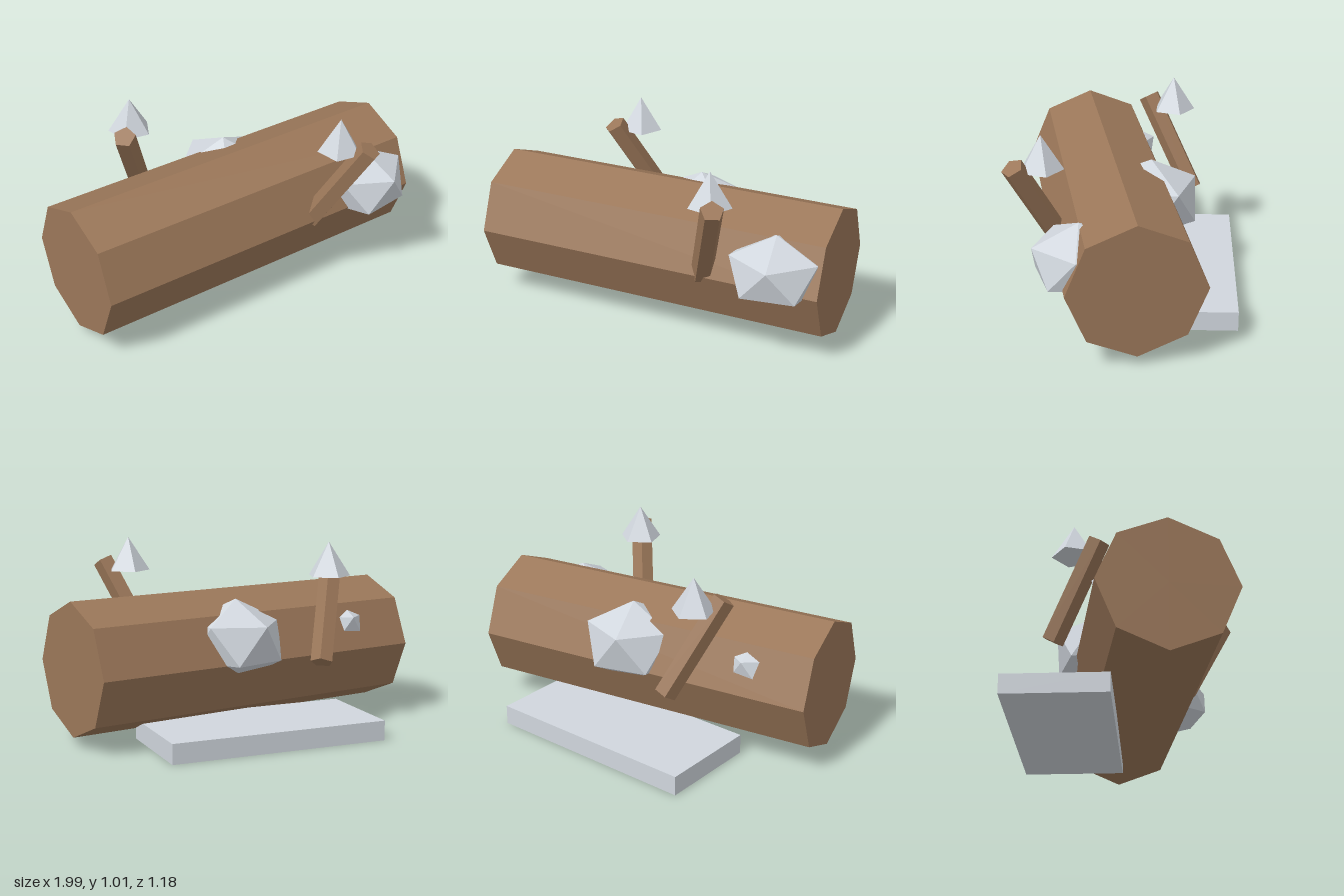
import * as THREE from 'three';

export function createModel() {
  const group = new THREE.Group();
  const wood = new THREE.MeshStandardMaterial({ color: 0x9b7759, flatShading: true });
  wood.name = 'wood brown';
  const stone = new THREE.MeshStandardMaterial({ color: 0xd0d6dd, flatShading: true });
  stone.name = 'stone grey';

  function add(name, geometry, material, x, y, z) {
    const mesh = new THREE.Mesh(geometry, material);
    mesh.name = name;
    mesh.position.set(x, y, z);
    group.add(mesh);
    return mesh;
  }

  // Fallen log: eight-sided, lying along x and turned a little
  const log = add('log', new THREE.CylinderGeometry(0.35, 0.35, 1.9, 8).rotateZ(Math.PI / 2), wood, 0, 0.4, 0.075);
  log.rotation.y = THREE.MathUtils.degToRad(10);

  // Flat slab under the back
  add('slab', new THREE.BoxGeometry(1.175, 0.105, 0.545), stone, 0, 0.0525, -0.3225);

  // Branch stubs: five-sided, from a foot point to a top point
  function addBranch(name, foot, top) {
    const a = new THREE.Vector3(...foot);
    const b = new THREE.Vector3(...top);
    const dir = b.clone().sub(a);
    const mid = a.add(b).multiplyScalar(0.5);
    const branch = add(name, new THREE.CylinderGeometry(0.06, 0.06, dir.length(), 5), wood, mid.x, mid.y, mid.z);
    branch.quaternion.setFromUnitVectors(new THREE.Vector3(0, 1, 0), dir.normalize());
  }
  addBranch('frontBranch', [0.365, 0.39, 0.31], [0.565, 0.875, 0.53]);
  addBranch('backBranch', [-0.335, 0.39, -0.365], [-0.51, 0.875, -0.12]);

  // Pointed tips beside the branches
  for (const [name, x, z] of [['frontTip', 0.465, 0.4], ['backTip', -0.425, -0.255]]) {
    add(name, new THREE.ConeGeometry(0.115, 0.18, 5).rotateY(Math.PI), stone, x, 0.92, z);
  }

  // Rocks: flattened icosahedra standing on a corner, half sunk in the log
  const upright = -Math.atan(2 / (1 + Math.sqrt(5)));
  function addRock(name, radius, height, turn, x, y, z) {
    const geometry = new THREE.IcosahedronGeometry(1, 0).rotateZ(upright);
    geometry.rotateY(-THREE.MathUtils.degToRad(turn)).scale(radius, height, radius);
    add(name, geometry, stone, x, y, z);
  }
  addRock('frontRock', 0.263, 0.19, 0, 0.73, 0.475, 0.2);
  addRock('backRock', 0.275, 0.22, 36, 0.06, 0.5, -0.14);
  addRock('smallRock', 0.224, 0.19, 48, -0.62, 0.49, 0.055);

  return group;
}
